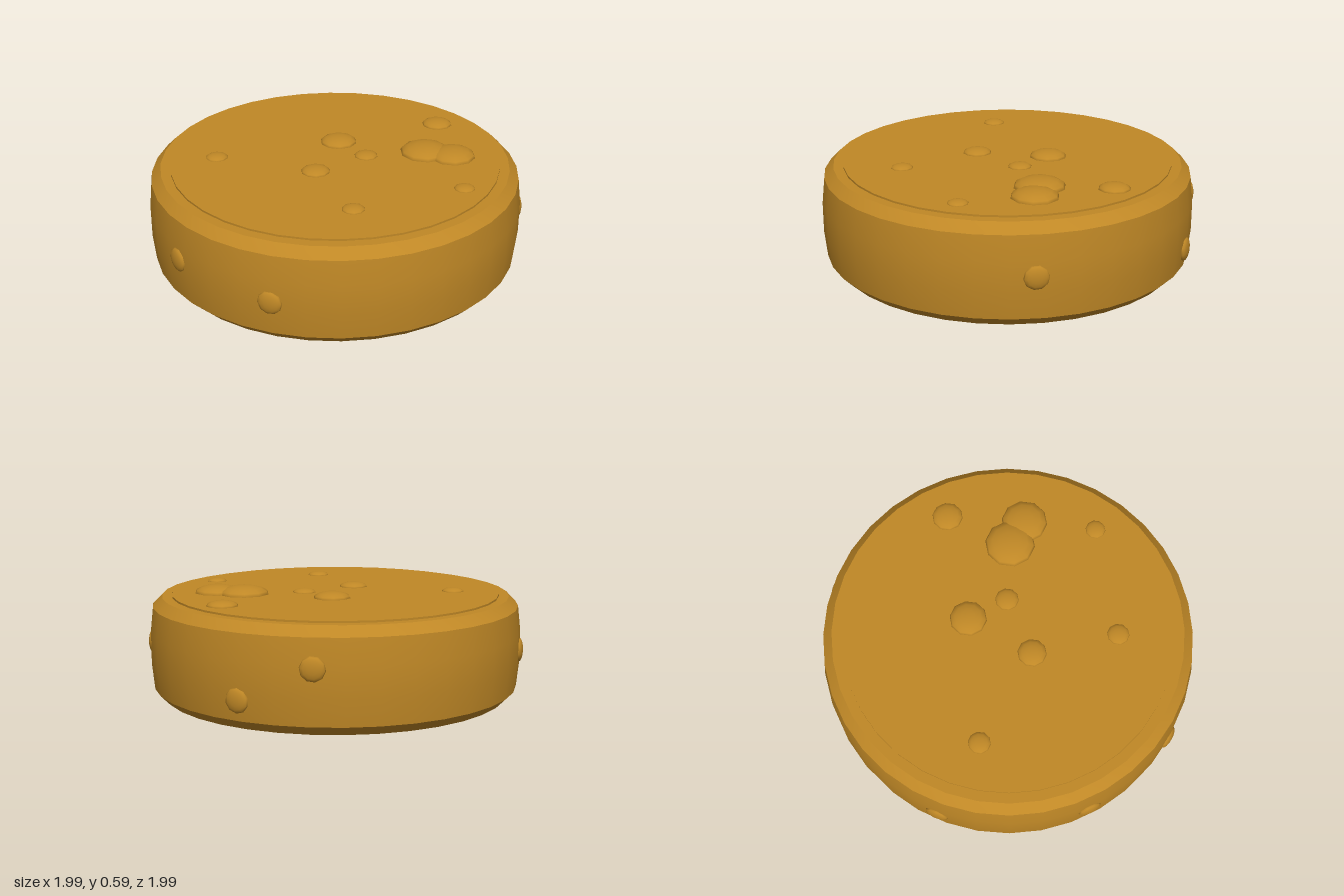
import * as THREE from 'three';
import { toCreasedNormals } from 'three/addons/utils/BufferGeometryUtils.js';

export function createModel() {
  const wheel = new THREE.Group();
  wheel.name = 'cheeseWheel';
  const rind = new THREE.MeshStandardMaterial({ color: 0xc08826 });
  rind.name = 'golden rind';

  const add = (name, geometry) => {
    const mesh = new THREE.Mesh(geometry, rind);
    mesh.name = name;
    wheel.add(mesh);
    return mesh;
  };

  // Body: bevelled drum with gently bulging sides
  const profile = [
    [0, 0], [0.93, 0], [0.98, 0.05], [0.995, 0.19], [0.995, 0.35],
    [0.98, 0.485], [0.93, 0.535], [0, 0.535],
  ].map(([r, y]) => new THREE.Vector2(r, y));
  add('body', toCreasedNormals(new THREE.LatheGeometry(profile, 36), 0.6));

  // Thin raised disc on the top
  add('topDisc', new THREE.CylinderGeometry(0.877, 0.877, 0.012, 36)).position.y = 0.539;

  // Flattened low-poly blister, its short axis along y
  const blister = new THREE.SphereGeometry(1, 10, 8);

  // Blisters on the top: x, z, radius
  [
    [-0.58, -0.255, 0.06], [0.1, -0.195, 0.1], [0.705, -0.205, 0.084],
    [0.17, 0.025, 0.064], [-0.15, 0.1, 0.078], [0.485, 0.1, 0.136],
    [0.6, 0.2, 0.125], [-0.13, 0.565, 0.06], [0.485, 0.57, 0.055],
  ].forEach(([x, z, r], i) => {
    const bump = add('topBlister' + (i + 1), blister);
    bump.position.set(x, 0.543, z);
    bump.scale.set(r, r * 0.35, r);
  });

  // Blisters around the side: x, z direction and height
  const up = new THREE.Vector3(0, 1, 0);
  [
    [0.92, 0.385, 0.27], [-0.65, 0.76, 0.23], [-0.965, 0.26, 0.27],
    [-0.84, -0.535, 0.255], [0.48, -0.865, 0.335], [0.775, -0.62, 0.155],
  ].forEach(([x, z, y], i) => {
    const out = new THREE.Vector3(x, 0, z).normalize();
    const bump = add('sideBlister' + (i + 1), blister);
    bump.position.copy(out).multiplyScalar(0.99).setY(y);
    bump.quaternion.setFromUnitVectors(up, out);
    bump.scale.set(0.065, 0.023, 0.065);
  });

  return wheel;
}
